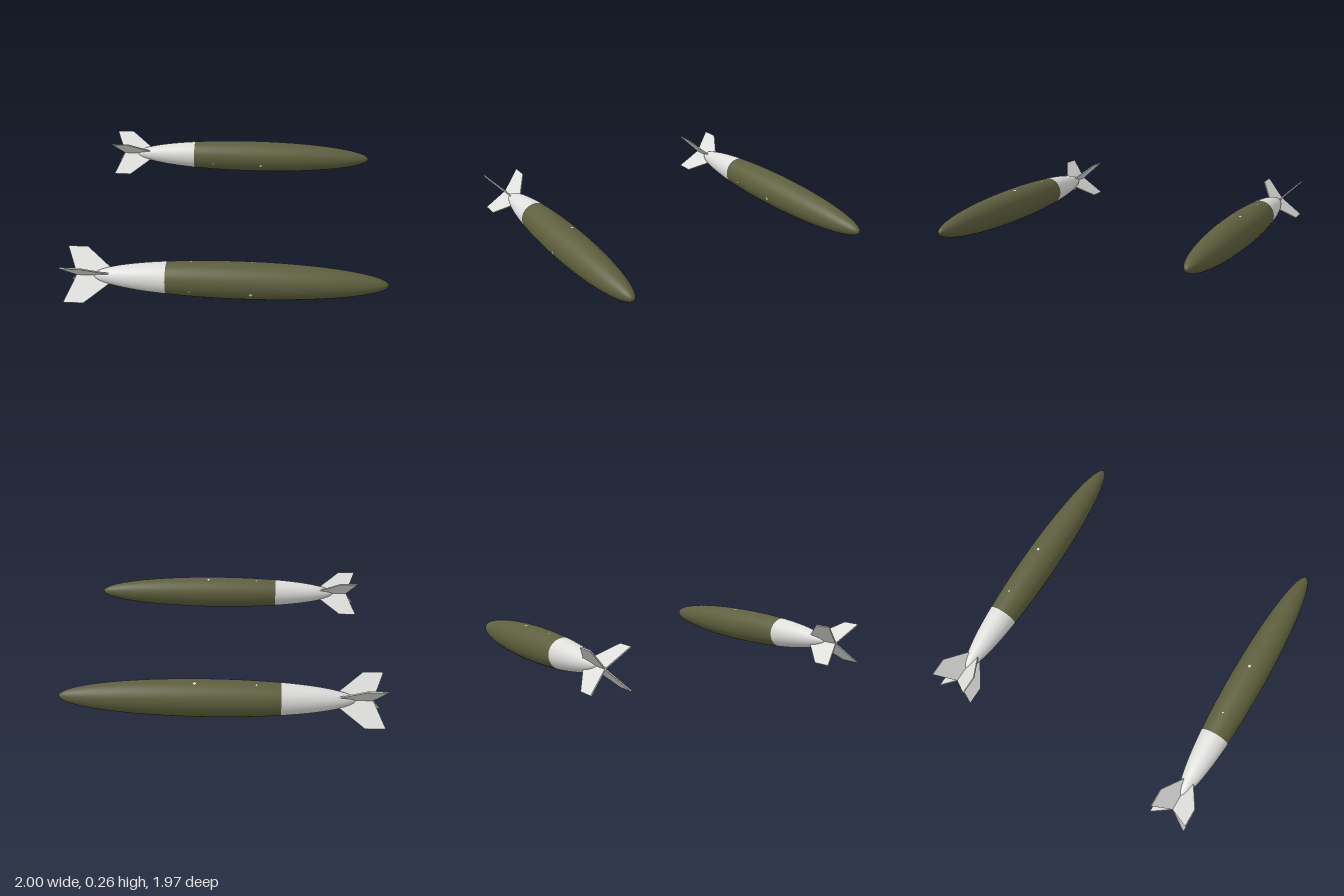
import * as THREE from 'three';

const olive = new THREE.MeshStandardMaterial({ name: 'olive', color: 0x5e5f3d });
const white = new THREE.MeshStandardMaterial({ name: 'paleGrey', color: 0xdededc });

const CENTRE = 0.085, HALF = 0.91, RADIUS = 0.117, SPLIT = -0.37;
const hullRadius = x => RADIUS * Math.sqrt(Math.max(0, 1 - ((x - CENTRE) / HALF) ** 2));

// Part of the ellipsoid hull between two stations along x
function hull(name, x0, x1, material) {
  const a0 = Math.acos((x0 - CENTRE) / HALF), a1 = Math.acos((x1 - CENTRE) / HALF);
  const points = [];
  for (let i = 0; i <= 24; i++) {
    const a = a0 + (a1 - a0) * i / 24;
    points.push(new THREE.Vector2(Math.max(0, RADIUS * Math.sin(a)), CENTRE + HALF * Math.cos(a)));
  }
  const mesh = new THREE.Mesh(new THREE.LatheGeometry(points, 40).rotateZ(-Math.PI / 2), material);
  mesh.name = name;
  return mesh;
}

// Swept tail fin outline, thin in z
const finShape = new THREE.Shape([
  [-0.93, 0], [-0.72, 0], [-0.72, 0.05], [-0.875, 0.179], [-1, 0.179]
].map(([x, y]) => new THREE.Vector2(x, y)));
const finGeometry = new THREE.ExtrudeGeometry(finShape, { depth: 0.008, bevelEnabled: false }).translate(0, 0, -0.004);

function createPod(name) {
  const pod = new THREE.Group();
  pod.name = name;
  pod.add(hull('forwardBody', SPLIT, CENTRE + HALF, olive));
  pod.add(hull('tailCone', CENTRE - HALF, SPLIT, white));
  // Four fins in an X
  for (let i = 0; i < 4; i++) {
    const fin = new THREE.Mesh(finGeometry, white);
    fin.name = 'tailFin';
    fin.rotation.x = Math.PI / 4 + i * Math.PI / 2;
    pod.add(fin);
  }
  // Tiny diamond fittings on the side and the top
  for (const [x, size] of [[0.155, 0.012], [-0.22, 0.007]]) {
    for (const angle of [-0.25, Math.PI / 2 + 0.25]) {
      const r = hullRadius(x) + 0.001;
      const mark = new THREE.Mesh(new THREE.CircleGeometry(size, 4), white);
      mark.name = 'fitting';
      mark.position.set(x, r * Math.sin(angle), r * Math.cos(angle));
      mark.rotation.x = -angle;
      pod.add(mark);
    }
  }
  return pod;
}

export function createModel() {
  const model = new THREE.Group();
  model.name = 'finnedPods';
  for (const [name, z] of [['frontPod', 0.856], ['rearPod', -0.856]]) {
    const pod = createPod(name);
    pod.position.set(0, 0.13, z);
    model.add(pod);
  }
  return model;
}
